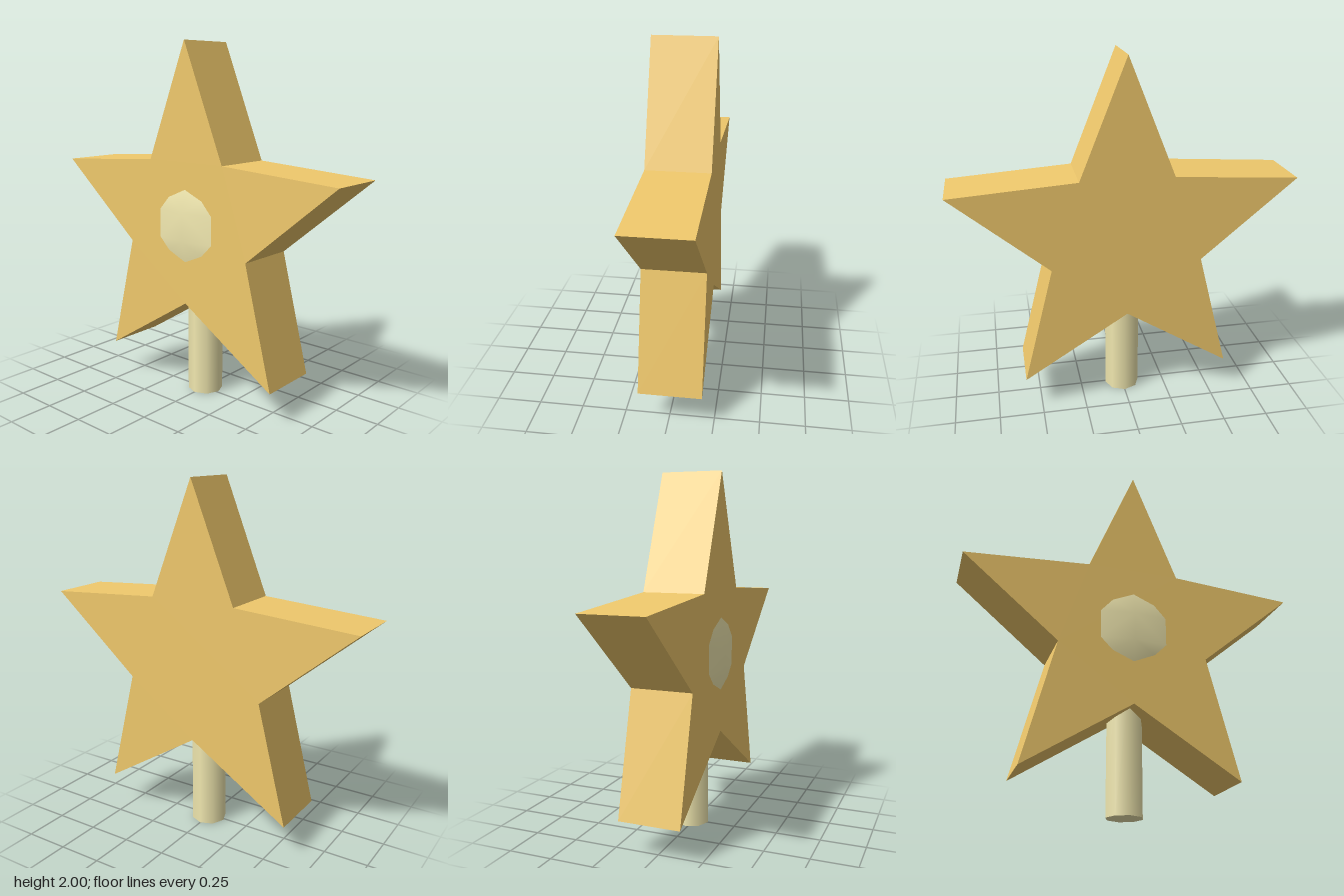
import * as THREE from 'three';

const gold = new THREE.MeshStandardMaterial({ color: 0xf0c96c });
const cream = new THREE.MeshStandardMaterial({ color: 0xf2e9b0 });

const BACK = -0.188, FRONT = 0.162, TIP = 0.188;

function addPart(group, name, geometry, material) {
  const mesh = new THREE.Mesh(geometry, material);
  mesh.name = name;
  group.add(mesh);
  return mesh;
}

// Five-pointed star outline around the origin
function starShape(outer, inner) {
  const points = [];
  for (let i = 0; i < 10; i++) {
    const r = i % 2 ? inner : outer;
    const a = Math.PI / 2 + (i * Math.PI) / 5;
    points.push(new THREE.Vector2(r * Math.cos(a), r * Math.sin(a)));
  }
  return new THREE.Shape(points);
}

// Shallow faceted lens: a rim joined to a short vertical ridge
function bossGeometry() {
  const right = [[0, 0.207], [0.12, 0.155], [0.187, 0.08], [0.187, -0.08], [0.12, -0.148], [0, -0.2]];
  const ridge = [[0, 0.08, TIP], [0, -0.08, TIP]];
  const positions = [...right.map(([x, y]) => [x, y, FRONT]), ...ridge];
  const left = right.slice(1, 5).map(([x, y]) => [-x, y, FRONT]);
  positions.push(...left);
  const T = 6, B = 7;
  const rightRim = [0, 1, 2, 3, 4, 5], leftRim = [0, 8, 9, 10, 11, 5];
  const index = [];
  const side = (rim, flip) => {
    const tri = (a, b, c) => index.push(...(flip ? [a, b, c] : [a, c, b]));
    for (let i = 0; i < 5; i++) tri(i < 3 ? T : B, rim[i], rim[i + 1]);
    tri(T, rim[3], B);
  };
  side(rightRim, false);
  side(leftRim, true);
  const geometry = new THREE.BufferGeometry();
  geometry.setAttribute('position', new THREE.Float32BufferAttribute(positions.flat(), 3));
  geometry.setIndex(index);
  geometry.computeVertexNormals();
  return geometry;
}

export function createModel() {
  const model = new THREE.Group();
  model.name = 'starOnPost';

  // Thick flat star
  const star = addPart(model, 'star',
    new THREE.ExtrudeGeometry(starShape(1, 0.44), { depth: FRONT - BACK, bevelEnabled: false }), gold);
  star.position.set(0, 1, BACK);

  // Low dome on the front face
  const boss = addPart(model, 'frontBoss', bossGeometry(), cream);
  boss.position.y = 1;

  // Eight-sided post, running up into the star
  const post = addPart(model, 'post', new THREE.CylinderGeometry(0.1, 0.1, 0.7, 8), cream);
  post.position.set(0, 0.35, (BACK + FRONT) / 2);

  return model;
}
